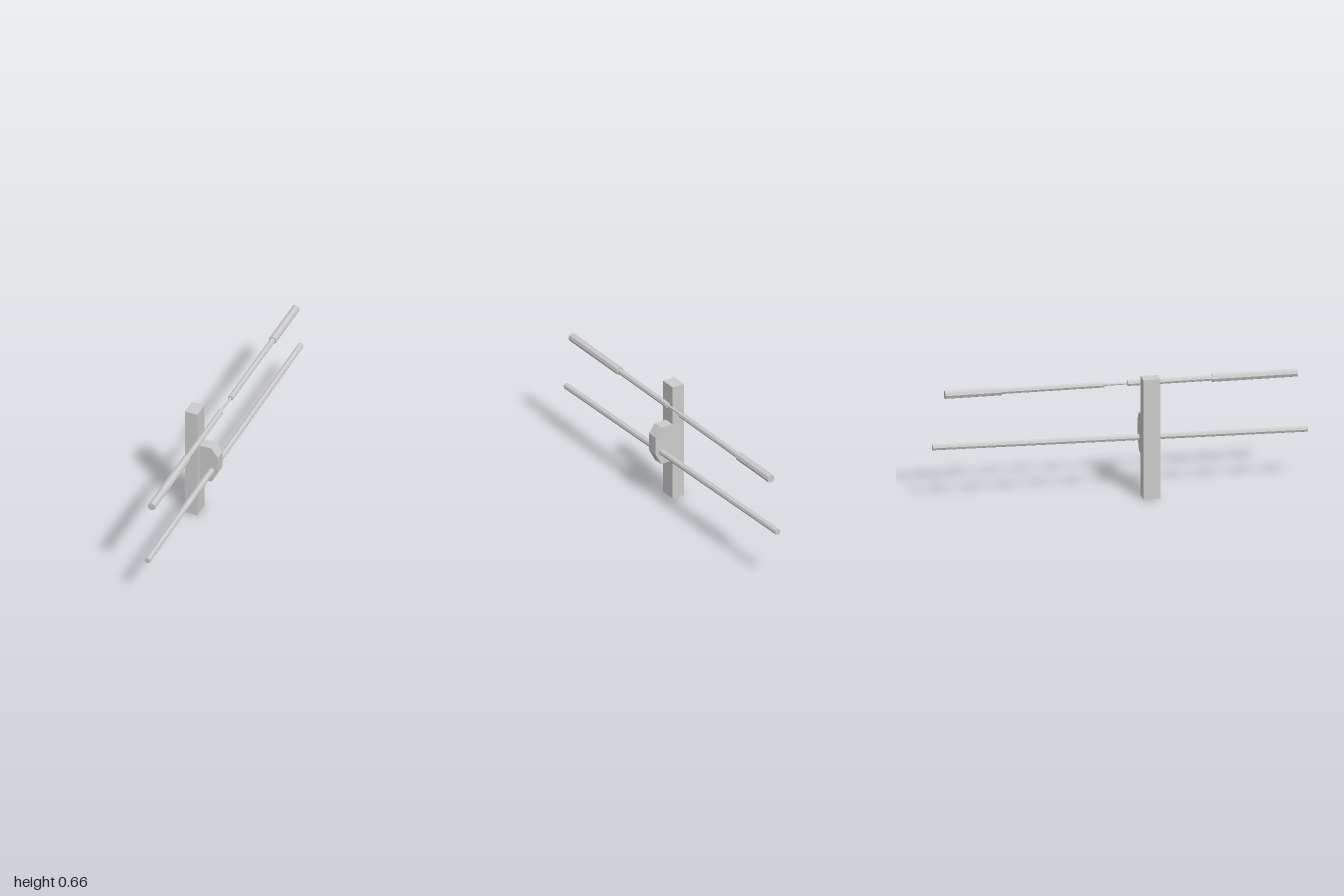
import * as THREE from 'three';

const grey = new THREE.MeshStandardMaterial({ color: 0xcccccc, flatShading: true });

function addMesh(group, name, geometry) {
  const mesh = new THREE.Mesh(geometry, grey);
  mesh.name = name;
  group.add(mesh);
  return mesh;
}

// Eight-sided bar running between two points
function addBar(group, name, radius, from, to) {
  const a = new THREE.Vector3(...from);
  const b = new THREE.Vector3(...to);
  const dir = b.clone().sub(a);
  const bar = addMesh(group, name, new THREE.CylinderGeometry(radius, radius, dir.length(), 8));
  bar.position.copy(a).add(b).multiplyScalar(0.5);
  bar.quaternion.setFromUnitVectors(new THREE.Vector3(0, 1, 0), dir.normalize());
  return bar;
}

export function createModel() {
  const model = new THREE.Group();
  model.name = 'postWithRods';
  const rodX = 0.052;

  // Upright post
  const post = addMesh(model, 'post', new THREE.BoxGeometry(0.072, 0.66, 0.092));
  post.position.set(-0.053, 0.33, 0.143);

  // Bevelled bracket on the side of the post
  const outline = new THREE.Shape([
    [-0.018, 0.223], [0.052, 0.223], [0.088, 0.29],
    [0.088, 0.39], [0.052, 0.44], [-0.018, 0.44],
  ].map(([x, y]) => new THREE.Vector2(x, y)));
  const bracket = addMesh(model, 'bracket',
    new THREE.ExtrudeGeometry(outline, { depth: 0.061, bevelEnabled: false }));
  bracket.position.z = 0.101;

  // Slightly tilted lower rod passing through the bracket
  addBar(model, 'lowerRod', 0.0165, [rodX, 0.286, 1], [rodX, 0.314, -1]);

  // Stepped upper rod: thick ends, thinner shafts, narrow link in the middle
  const upperRod = new THREE.Group();
  upperRod.name = 'upperRod';
  const sections = [
    ['frontGrip', 0.0225, 0.945, 0.49],
    ['frontShaft', 0.0155, 0.49, 0.04],
    ['middleLink', 0.007, 0.04, -0.085],
    ['backShaft', 0.0155, -0.085, -0.632],
    ['backGrip', 0.0225, -0.632, -0.935],
  ];
  for (const [name, radius, z0, z1] of sections) {
    addBar(upperRod, name, radius, [rodX, 0.601, z0], [rodX, 0.601, z1]);
  }
  model.add(upperRod);

  return model;
}
